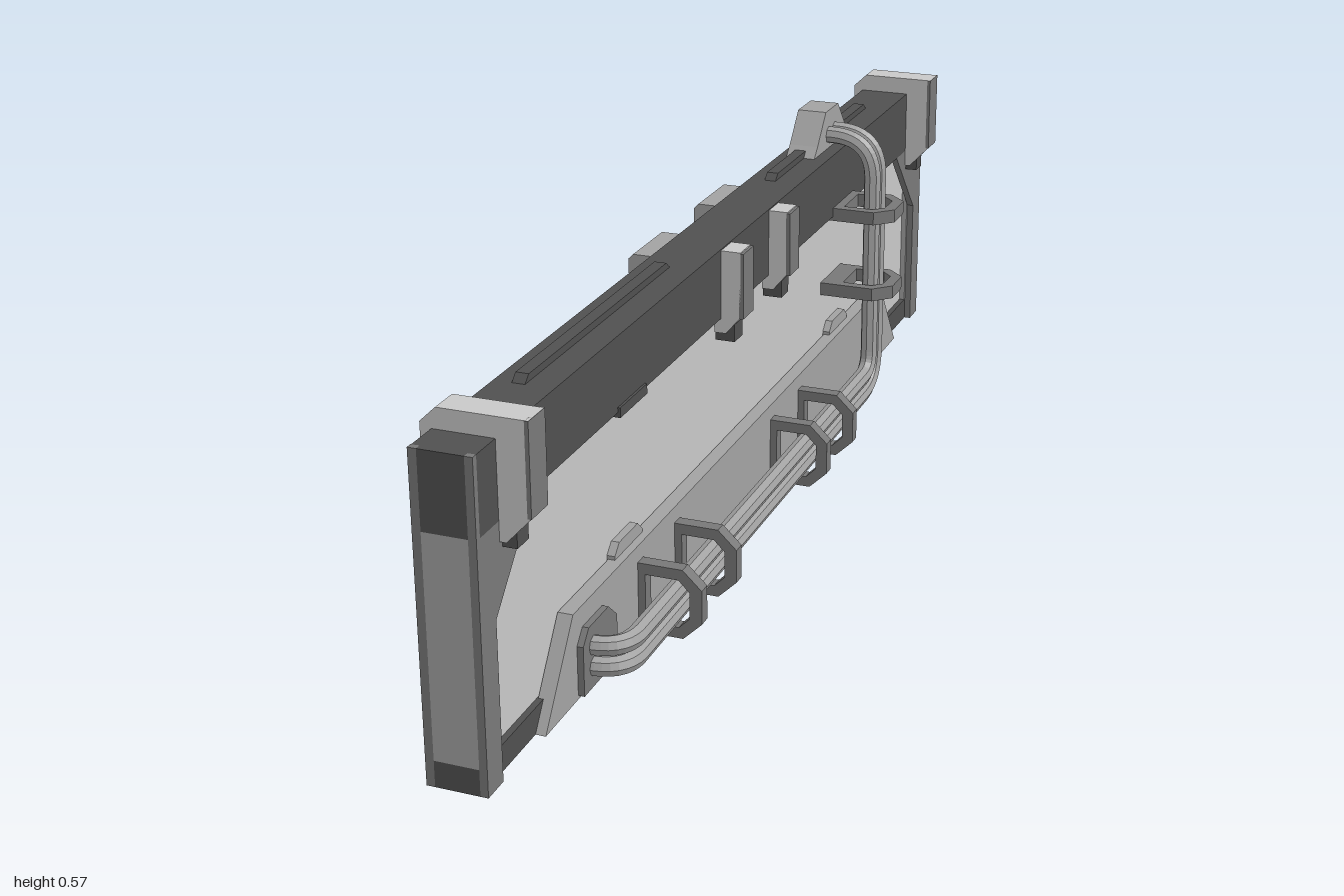
import * as THREE from 'three';

const mat = (name, color) => {
  const m = new THREE.MeshStandardMaterial({ color });
  m.name = name;
  return m;
};

export function createModel() {
  const light = mat('lightGrey', 0xc8c8c8);
  const mid = mat('midGrey', 0xa2a2a2);
  const grey = mat('grey', 0x787878);
  const dark = mat('darkGrey', 0x505050);
  const root = new THREE.Group();
  root.name = 'wallPanel';

  const add = (name, geo, m) => {
    const mesh = new THREE.Mesh(geo, m);
    mesh.name = name;
    root.add(mesh);
    return mesh;
  };
  // box from its limits
  const box = (name, m, x0, x1, y0, y1, z0, z1) => add(name,
    new THREE.BoxGeometry(x1 - x0, y1 - y0, z1 - z0)
      .translate((x0 + x1) / 2, (y0 + y1) / 2, (z0 + z1) / 2), m);
  const shape = (pts, hole) => {
    const s = new THREE.Shape(pts.map(p => new THREE.Vector2(...p)));
    if (hole) s.holes.push(new THREE.Path(hole.map(p => new THREE.Vector2(...p))));
    return s;
  };
  const extrude = (s, depth) => new THREE.ExtrudeGeometry(s, { depth, bevelEnabled: false });
  // (x, y) profile swept along z
  const alongZ = (name, m, pts, z0, z1, hole) =>
    add(name, extrude(shape(pts, hole), z1 - z0).translate(0, 0, z0), m);
  // (z, y) profile swept along x
  const alongX = (name, m, pts, x0, x1) =>
    add(name, extrude(shape(pts), x1 - x0).rotateY(-Math.PI / 2).translate(x1, 0, 0), m);
  // (x, z) profile swept along y
  const alongY = (name, m, pts, y0, y1, hole) =>
    add(name, extrude(shape(pts, hole), y1 - y0).rotateX(Math.PI / 2).translate(0, y1, 0), m);

  // core panel and rails
  box('panel', light, -0.06, -0.01, 0.02, 0.4, -0.97, 0.97);
  box('topRail', dark, -0.08, 0.012, 0.385, 0.502, -0.99, 0.99);
  box('bottomRail', dark, -0.07, 0, 0.004, 0.045, -0.99, 0.99);

  for (const e of [1, -1]) {
    const span = (a, b) => e > 0 ? [a, b] : [-b, -a];
    // end post: pale centre, dark caps, grey edge strips
    box('endPost', mid, -0.068, 0, 0.045, 0.385, ...span(0.95, 1));
    box('postTopCap', dark, -0.068, 0, 0.385, 0.502, ...span(0.95, 1));
    box('postFoot', dark, -0.068, 0, 0.004, 0.045, ...span(0.95, 1));
    for (const [x0, x1] of [[-0.081, -0.068], [0, 0.012]]) {
      box('postEdge', grey, x0, x1, 0.004, 0.502, ...span(0.99, 1));
      alongX('postGusset', grey, [[1, 0.004], [0.955, 0.004], [0.955, 0.25], [0.83, 0.385], [1, 0.385]]
        .map(([z, y]) => [z * e, y]), x0, x1);
    }

    // hooked clamp over the top rail
    alongZ('railClamp', light, [[-0.097, 0.43], [-0.08, 0.43], [-0.08, 0.502], [0.012, 0.502],
      [0.012, 0.355], [0.022, 0.355], [0.059, 0.395], [0.059, 0.533], [-0.073, 0.533], [-0.097, 0.51]],
    ...span(0.888, 0.936));
    box('clampFace', grey, 0.054, 0.06, 0.395, 0.533, ...span(0.887, 0.937));
    box('clampFoot', dark, 0.006, 0.034, 0.345, 0.38, ...span(0.895, 0.929));

    // side clip
    alongZ('sideClip', light, [[0, 0.36], [0.02, 0.36], [0.045, 0.39], [0.045, 0.5], [0, 0.5]],
      ...span(0.088, 0.135));
    box('clipFace', grey, 0.043, 0.05, 0.388, 0.498, ...span(0.088, 0.135));
    box('clipFoot', dark, 0, 0.033, 0.345, 0.375, ...span(0.094, 0.129));

    // block on the far side
    alongZ('sideBlock', mid, [[-0.12, 0.395], [-0.086, 0.362], [-0.06, 0.362], [-0.06, 0.5],
      [-0.112, 0.5], [-0.12, 0.492]], ...span(0.08, 0.2));
    box('blockFoot', dark, -0.095, -0.06, 0.345, 0.375, ...span(0.1, 0.18));

    // ridge on the rail, chips under it and tabs above the skirts
    alongX('topRidge', dark, [[0.24, 0.5], [0.76, 0.5], [0.745, 0.513], [0.255, 0.513]]
      .map(([z, y]) => [z * e, y]), -0.052, -0.032);
    box('railChip', dark, -0.083, 0.016, 0.377, 0.393, ...span(0.45, 0.55));
    alongX('skirtTab', mid, [[0.448, 0.14], [0.552, 0.14], [0.552, 0.152], [0.535, 0.168], [0.465, 0.168], [0.448, 0.152]]
      .map(([z, y]) => [z * e, y]), -0.073, 0.003);
  }

  // tapered skirts on both faces
  const skirt = [[-0.83, 0.004], [0.83, 0.004], [0.73, 0.146], [-0.73, 0.146]];
  alongX('rightSkirt', mid, skirt, -0.008, 0.016);
  alongX('leftSkirt', mid, skirt, -0.085, -0.062);
  alongZ('lowerBar', grey, [[-0.115, 0.004], [-0.08, 0.004], [-0.08, 0.058], [-0.098, 0.058], [-0.115, 0.04]],
    -0.335, 0.335);

  // twin pipes: straight runs joined by rounded corners
  const pipePath = (pts, radii) => {
    const path = new THREE.CurvePath();
    let from = pts[0];
    for (let i = 1; i < pts.length - 1; i++) {
      const r = radii[i - 1], c = pts[i];
      const a = c.clone().add(pts[i - 1].clone().sub(c).setLength(r));
      const b = c.clone().add(pts[i + 1].clone().sub(c).setLength(r));
      path.add(new THREE.LineCurve3(from, a));
      path.add(new THREE.QuadraticBezierCurve3(a, c, b));
      from = b;
    }
    path.add(new THREE.LineCurve3(from, pts[pts.length - 1]));
    return path;
  };
  for (const s of [-0.017, 0.017]) {
    const y = 0.06 + s, z = -0.49 + s;
    const pts = [[0.01, y, 0.685], [0.073, y, 0.685], [0.073, y, z], [0.073, 0.527, z], [-0.03, 0.527, z]]
      .map(p => new THREE.Vector3(...p));
    const geo = new THREE.TubeGeometry(pipePath(pts, [0.055, 0.06 - s, 0.075]), 180, 0.0155, 8).toNonIndexed();
    geo.computeVertexNormals();
    add('pipe', geo, mid);
  }

  // pipe end fittings
  alongX('pipeSocket', grey, [[0.6, 0.01], [0.72, 0.01], [0.72, 0.09], [0.7, 0.112], [0.63, 0.112], [0.6, 0.085]],
    0.01, 0.026);
  alongX('topSocket', mid, [[-0.39, 0.5], [-0.41, 0.52], [-0.455, 0.573], [-0.525, 0.573], [-0.57, 0.52], [-0.59, 0.5]],
    -0.065, -0.012);

  // ring brackets; profile runs out from the wall and across the pipe pair
  const ring = [[0.012, -0.058], [0.089, -0.058], [0.12, -0.028], [0.12, 0.028], [0.089, 0.058], [0.012, 0.058]];
  const hole = [[0.028, -0.04], [0.082, -0.04], [0.1, -0.022], [0.1, 0.022], [0.082, 0.04], [0.028, 0.04]];
  const shift = (pts, d) => pts.map(([a, b]) => [a, b + d]);
  for (const z of [0.487, 0.34, -0.1, -0.245])
    alongZ('pipeBracket', grey, shift(ring, 0.061), z - 0.011, z + 0.011, shift(hole, 0.061));
  for (const y of [0.389, 0.242])
    alongY('risingPipeBracket', grey, shift(ring, -0.49).map(([x, z]) => [x < 0.02 ? -0.012 : x, z]),
      y - 0.012, y + 0.012, shift(hole, -0.49));

  return root;
}
